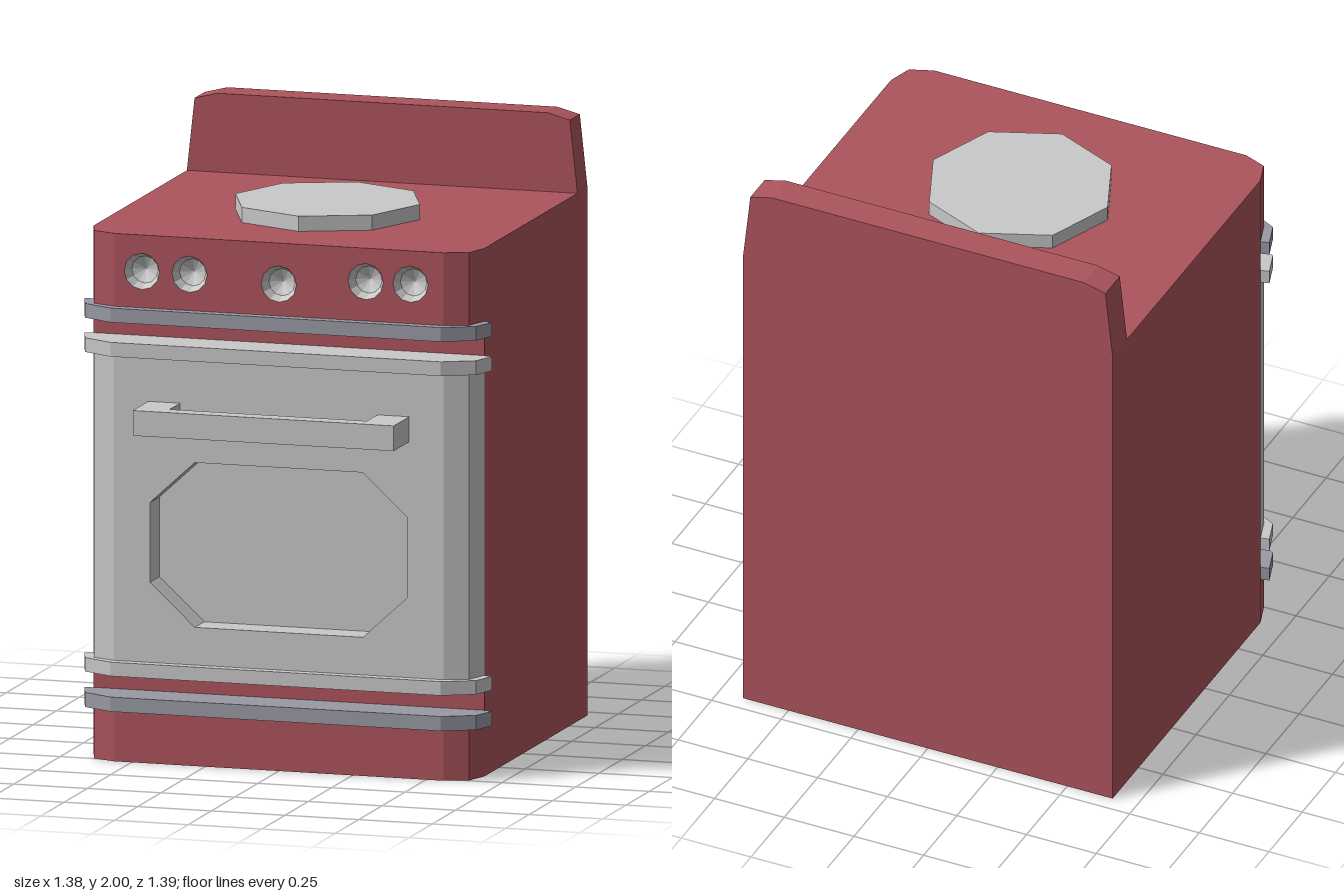
import * as THREE from 'three';

const flat = (name, color) => {
  const m = new THREE.MeshStandardMaterial({ color });
  m.name = name;
  m.flatShading = true;
  return m;
};

export function createModel() {
  const red = flat('redEnamel', 0xac545c);
  const light = flat('lightGrey', 0xc9c9c9);
  const trim = flat('blueGreyTrim', 0x9a9aa4);
  const group = new THREE.Group();

  const add = (name, geometry, material) => {
    const mesh = new THREE.Mesh(geometry, material);
    mesh.name = name;
    group.add(mesh);
    return mesh;
  };
  // Box given by its limits
  const box = (x0, x1, y0, y1, z0, z1) =>
    new THREE.BoxGeometry(x1 - x0, y1 - y0, z1 - z0)
      .translate((x0 + x1) / 2, (y0 + y1) / 2, (z0 + z1) / 2);
  const vecs = (pts) => pts.map(([a, b]) => new THREE.Vector2(a, b));
  // Upright prism from an outline in x and z
  const prism = (pts, y0, y1) =>
    new THREE.ExtrudeGeometry(new THREE.Shape(vecs(pts.map(([x, z]) => [x, -z]))),
      { depth: y1 - y0, bevelEnabled: false }).rotateX(-Math.PI / 2).translate(0, y0, 0);
  // Slab from an outline in x and y, with holes
  const slab = (pts, z0, z1, holes = []) => {
    const shape = new THREE.Shape(vecs(pts));
    holes.forEach((h) => shape.holes.push(new THREE.Path(vecs(h))));
    return new THREE.ExtrudeGeometry(shape, { depth: z1 - z0, bevelEnabled: false }).translate(0, 0, z0);
  };
  const mirrored = (half) => [...half, ...half.map(([x, z]) => [-x, z]).reverse()];

  const back = -0.695, recess = 0.415, front = 0.525, flatX = 0.56;
  const corner = [[0.663, recess], [0.637, 0.495], [flatX, front]];
  const bandHalf = [[0.663, recess], [0.692, 0.422], [0.664, 0.507], [flatX, 0.56]];

  // Front panel: flat middle with holes and two chamfered corner pieces
  const frontPanel = (name, y0, y1, holes, material) => {
    add(name, slab([[-flatX, y0], [flatX, y0], [flatX, y1], [-flatX, y1]], recess, front, holes), material);
    for (const s of [1, -1]) {
      const pts = [[flatX, recess], ...corner].map(([x, z]) => [x * s, z]);
      add(name + 'Corner', prism(pts, y0, y1), material);
    }
  };

  // Cabinet, foot and back guard
  add('cabinet', box(-0.663, 0.663, 0, 1.74, back, recess), red);
  add('foot', prism(mirrored(corner), 0, 0.2), red);
  add('backGuard', slab(mirrored([[0.663, 1.74], [0.637, 1.98], [0.56, 2]]), back, -0.587), red);

  // Control panel with dished dials
  const sides = 12, dialR = 0.06;
  const dials = [[-0.465, 1.62], [-0.303, 1.62], [0, 1.605], [0.295, 1.63], [0.447, 1.63]];
  const ring = ([x, y]) => Array.from({ length: sides }, (_, i) => {
    const a = (i / sides) * Math.PI * 2;
    return [x + dialR * Math.cos(a), y + dialR * Math.sin(a)];
  });
  frontPanel('controlPanel', 1.48, 1.74, dials.map(ring), red);
  for (const [x, y] of dials) {
    const dish = new THREE.LatheGeometry(vecs([[dialR, 0], [0.045, -0.035], [0, -0.055]]), sides);
    add('dial', dish.rotateX(Math.PI / 2).translate(x, y, front), light);
  }

  // Oven door with a recessed eight-sided window
  const windowOutline = [[-0.285, 0.457], [0.285, 0.457], [0.437, 0.597], [0.437, 0.86],
    [0.285, 1], [-0.285, 1], [-0.437, 0.86], [-0.437, 0.597]];
  frontPanel('door', 0.29, 1.385, [windowOutline], light);
  add('windowPane', slab(windowOutline, recess, recess + 0.008), light);

  // Bands around the front
  for (const [name, y0, y1, mat] of [
    ['lowerTrim', 0.17, 0.218, trim], ['upperTrim', 1.453, 1.5, trim],
    ['doorLowerBand', 0.287, 0.333, light], ['doorUpperBand', 1.34, 1.387, light],
  ]) {
    // Each band is a strip, open behind so the window stays clear
    add(name, prism(mirrored(bandHalf), y0, y1), mat);
  }

  // Door handle
  add('handleBar', box(-0.443, 0.443, 1.11, 1.193, 0.637, 0.692), light);
  for (const s of [1, -1]) {
    add('handlePost', box(-0.054, 0.054, 1.11, 1.193, 0.52, 0.637).translate(s * 0.389, 0, 0), light);
  }

  // Hot plate
  add('hotPlate', new THREE.CylinderGeometry(0.313, 0.313, 0.05, 8).translate(0, 1.765, 0), light);

  return group;
}
